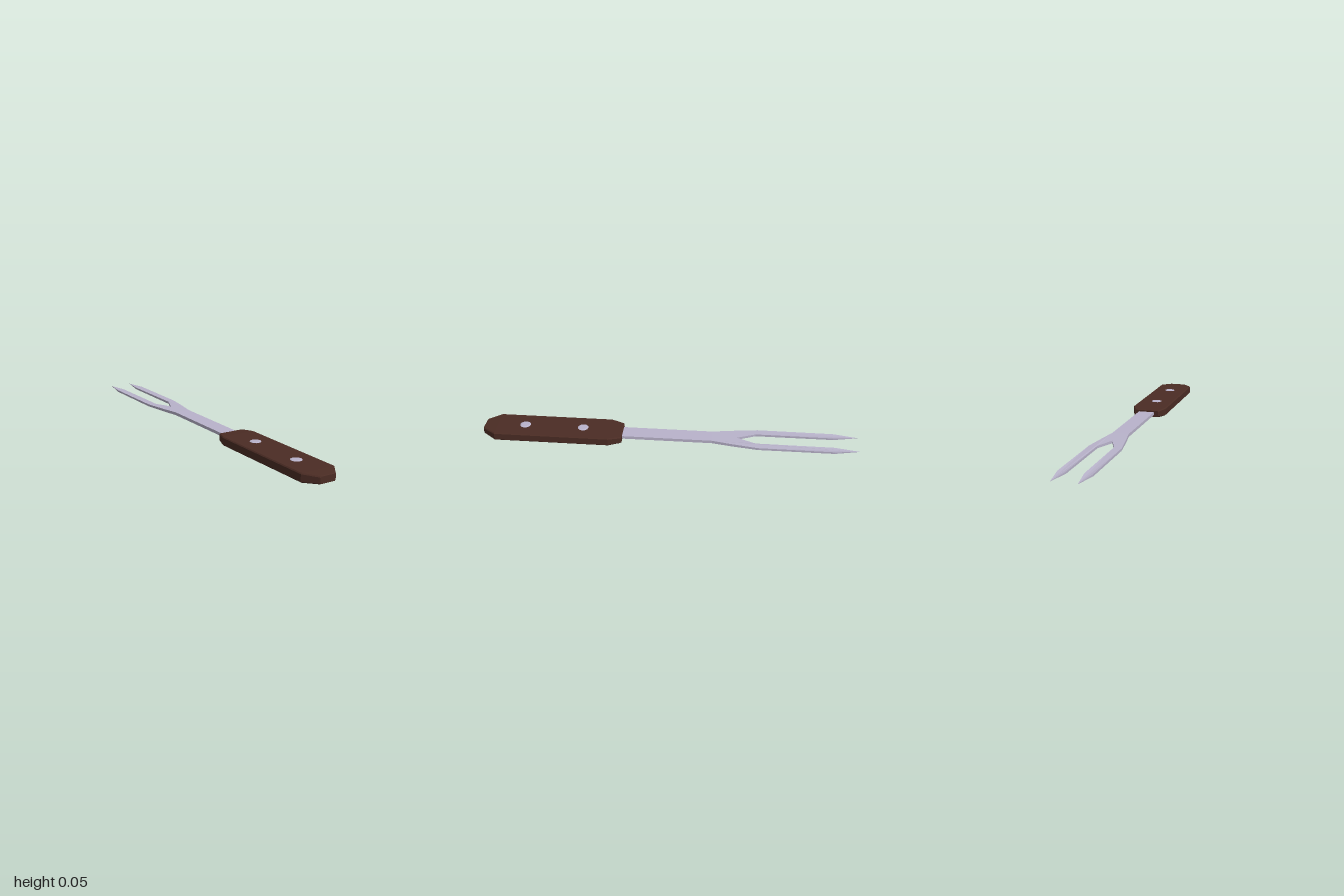
import * as THREE from 'three';

const metal = new THREE.MeshStandardMaterial({ color: 0xb9b3cb, flatShading: true });
const wood = new THREE.MeshStandardMaterial({ color: 0x4b2c24, flatShading: true });

function addMesh(group, name, geometry, material) {
  const mesh = new THREE.Mesh(geometry, material);
  mesh.name = name;
  group.add(mesh);
  return mesh;
}

// Bevelled slab: one eight-cornered section per station [z, halfWidth, halfHeight]
function handleGeometry(stations, midY, bevel) {
  const positions = [], index = [], n = 8;
  for (const [z, w, h] of stations) {
    const quarter = [[w, h - bevel], [w - bevel, h]];
    const ring = [
      ...quarter,
      ...quarter.map(([x, y]) => [-x, y]).reverse(),
      ...quarter.map(([x, y]) => [-x, -y]),
      ...quarter.map(([x, y]) => [x, -y]).reverse(),
    ];
    for (const [x, y] of ring) positions.push(x, midY + y, z);
  }
  const last = (stations.length - 1) * n;
  for (let s = 0; s < last; s += n) {
    for (let i = 0; i < n; i++) {
      const a = s + i, b = s + (i + 1) % n;
      index.push(a, b, b + n, a, b + n, a + n);
    }
  }
  for (let i = 1; i < n - 1; i++) {
    index.push(0, i + 1, i, last, last + i, last + i + 1);
  }
  const geometry = new THREE.BufferGeometry();
  geometry.setAttribute('position', new THREE.Float32BufferAttribute(positions, 3));
  geometry.setIndex(index);
  // Stations run from back to front, so rings face outward once wound backwards
  const flat = geometry.toNonIndexed();
  flat.computeVertexNormals();
  return flat;
}

// Two-pronged blade cut from sheet, thinning towards the points
function bladeGeometry() {
  const half = [
    [0.043, -0.32], [0.043, 0.23], [0.06, 0.32], [0.083, 0.47],
    [0.083, 0.87], [0.062, 1.0], [0.042, 0.87], [0.042, 0.46],
  ];
  const outline = [
    ...half, [0, 0.36],
    ...half.map(([x, y]) => [-x, y]).reverse(),
  ];
  const shape = new THREE.Shape(outline.map(([x, y]) => new THREE.Vector2(x, y)));
  const geometry = new THREE.ExtrudeGeometry(shape, { depth: 1, bevelEnabled: false });
  geometry.rotateX(-Math.PI / 2);

  // [distance from centre, bottom, top]
  const profile = [
    [-0.32, 0.021, 0.037], [0.23, 0.021, 0.037], [0.47, 0.021, 0.033],
    [0.87, 0.022, 0.032], [1.0, 0.0275, 0.0285],
  ];
  const p = geometry.attributes.position;
  for (let i = 0; i < p.count; i++) {
    const d = -p.getZ(i);
    let k = 1;
    while (k < profile.length - 1 && d > profile[k][0]) k++;
    const [d0, b0, t0] = profile[k - 1], [d1, b1, t1] = profile[k];
    const f = THREE.MathUtils.clamp((d - d0) / (d1 - d0), 0, 1);
    const bottom = THREE.MathUtils.lerp(b0, b1, f);
    const top = THREE.MathUtils.lerp(t0, t1, f);
    p.setY(i, p.getY(i) > 0.5 ? top : bottom);
  }
  geometry.computeVertexNormals();
  return geometry;
}

export function createModel() {
  const model = new THREE.Group();
  model.name = 'carvingFork';
  const midY = 0.028;

  addMesh(model, 'blade', bladeGeometry(), metal);

  // Wooden grip with clipped corners and slightly thinner ends
  addMesh(model, 'handle', handleGeometry([
    [0.25, 0.068, 0.017], [0.256, 0.072, 0.019], [0.32, 0.095, 0.0225],
    [0.93, 0.095, 0.0225], [0.994, 0.048, 0.019], [1.0, 0.043, 0.017],
  ], midY, 0.005), wood);

  // Rivets through the grip, with slightly chamfered heads
  for (const [name, z] of [['backRivet', 0.465], ['frontRivet', 0.78]]) {
    const points = [[0, -0.027], [0.021, -0.027], [0.029, -0.0245],
      [0.029, 0.0245], [0.021, 0.027], [0, 0.027]];
    const rivet = addMesh(model, name,
      new THREE.LatheGeometry(points.map(([x, y]) => new THREE.Vector2(x, y)), 12), metal);
    rivet.position.set(0, midY - 0.001, z);
  }
  return model;
}
